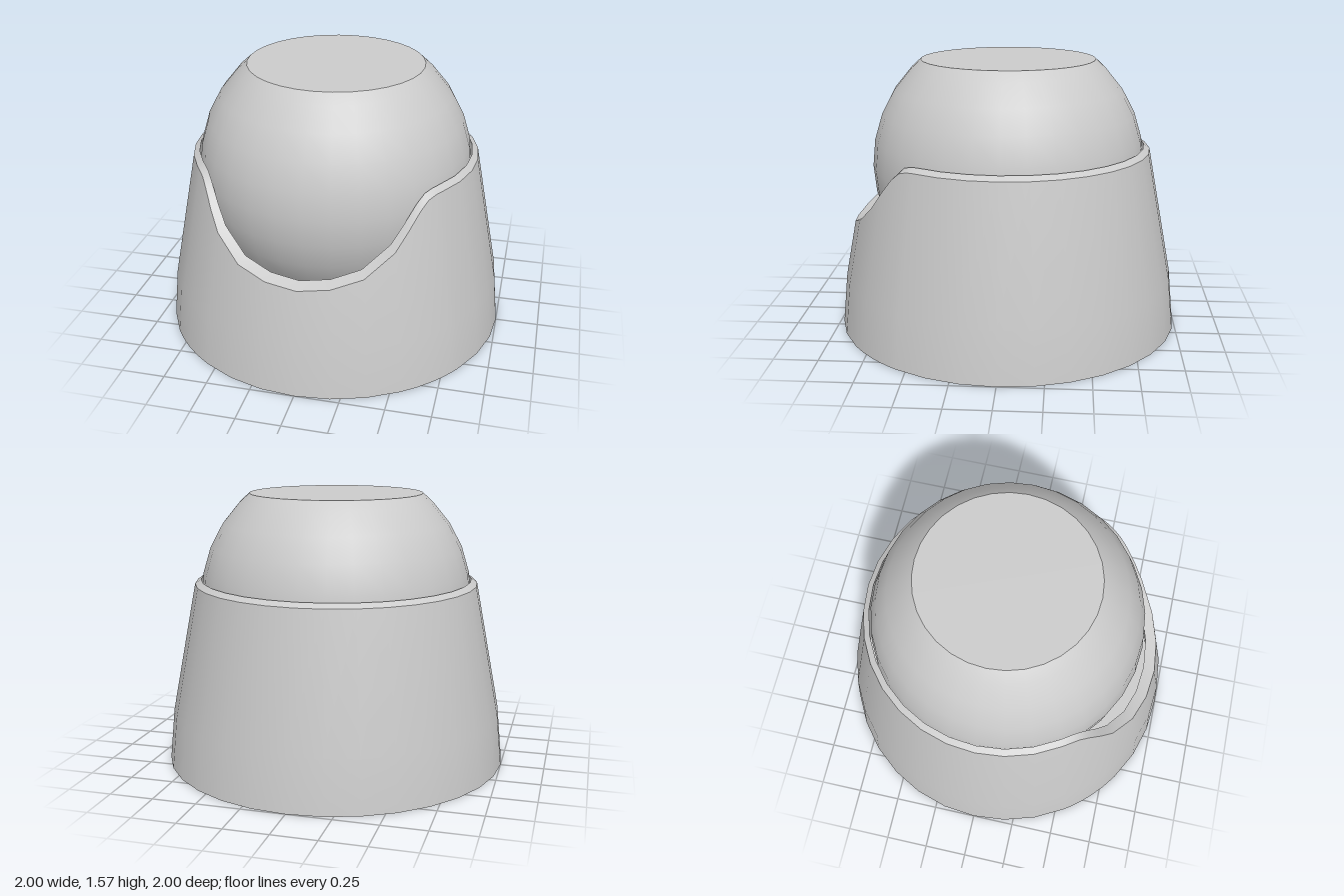
import * as THREE from 'three';
import { toCreasedNormals } from 'three/addons/utils/BufferGeometryUtils.js';

const material = new THREE.MeshStandardMaterial({ color: 0xcccccc });
const RAD = Math.PI / 180;
const STEP = 11.25;

// Height of the housing's outer rim by angle from the front (degrees)
const RIM = [[0, 0.61], [11.25, 0.63], [22.5, 0.68], [33.75, 0.8], [39.5, 0.9],
  [45, 0.99], [49, 1.035], [53, 1.05], [56.25, 1.053]];

// Cross-section of the housing wall, a closed loop that starts at the foot
function wallProfile(rim) {
  const outer = (y) => 0.97 - (y - 0.3) * 0.193;
  const lip = rim + 0.024;
  const inner = 0.84 - (lip - 0.635) * 0.114;
  return [
    [1, 0], [0.97, 0.3], [outer(rim), rim], // outer wall
    [inner, lip], // sloping lip
    [0.86, 0.5], [0.71, 0.5], [0.71, 0.45], [0.857, 0.45], // shelf under the ball
    [0.857, 0.13], [0.945, 0.13], [0.945, 0], [1, 0], // recess in the foot
  ];
}

function housingGeometry() {
  const half = [...RIM];
  for (let a = 67.5; a <= 180; a += STEP) half.push([a, 1.053]);
  const mirrored = half.slice(1, -1).reverse().map(([a, y]) => [360 - a, y]);
  const stations = [...half, ...mirrored, [360, RIM[0][1]]];

  const positions = [];
  const index = [];
  const n = wallProfile(1).length;
  stations.forEach(([angle, rim], i) => {
    for (const [r, y] of wallProfile(rim)) {
      positions.push(r * Math.sin(angle * RAD), y, r * Math.cos(angle * RAD));
    }
    if (i === stations.length - 1) return;
    for (let j = 0; j < n - 1; j++) {
      const a = i * n + j, b = a + n;
      index.push(a, b, b + 1, a, b + 1, a + 1);
    }
  });
  const geometry = new THREE.BufferGeometry();
  geometry.setAttribute('position', new THREE.Float32BufferAttribute(positions, 3));
  geometry.setIndex(index);
  return toCreasedNormals(geometry, 0.48);
}

export function createModel() {
  const model = new THREE.Group();
  const add = (name, geometry) => {
    const mesh = new THREE.Mesh(geometry, material);
    mesh.name = name;
    model.add(mesh);
    return mesh;
  };

  // Tapered housing with a scooped front
  add('housing', housingGeometry());

  // Ball with its top sliced flat
  const radius = 0.79, centre = 0.96, top = 1.57;
  const points = [];
  const end = Math.asin((top - centre) / radius);
  for (let a = -90; a <= 45; a += STEP) {
    points.push(new THREE.Vector2(Math.max(0, radius * Math.cos(a * RAD)), centre + radius * Math.sin(a * RAD)));
  }
  points.push(new THREE.Vector2(radius * Math.cos(end), top));
  add('ball', new THREE.LatheGeometry(points, 32));
  const cap = add('ballTop', new THREE.CircleGeometry(radius * Math.cos(end), 32));
  cap.rotation.x = -Math.PI / 2;
  cap.position.y = top;

  // Four locating pegs in the foot recess
  for (let i = 0; i < 4; i++) {
    const angle = (15 + 90 * i) * RAD;
    const peg = add('peg', new THREE.CylinderGeometry(0.045, 0.045, 0.13, 16));
    peg.position.set(0.9 * Math.sin(angle), 0.066, -0.9 * Math.cos(angle));
  }
  return model;
}
